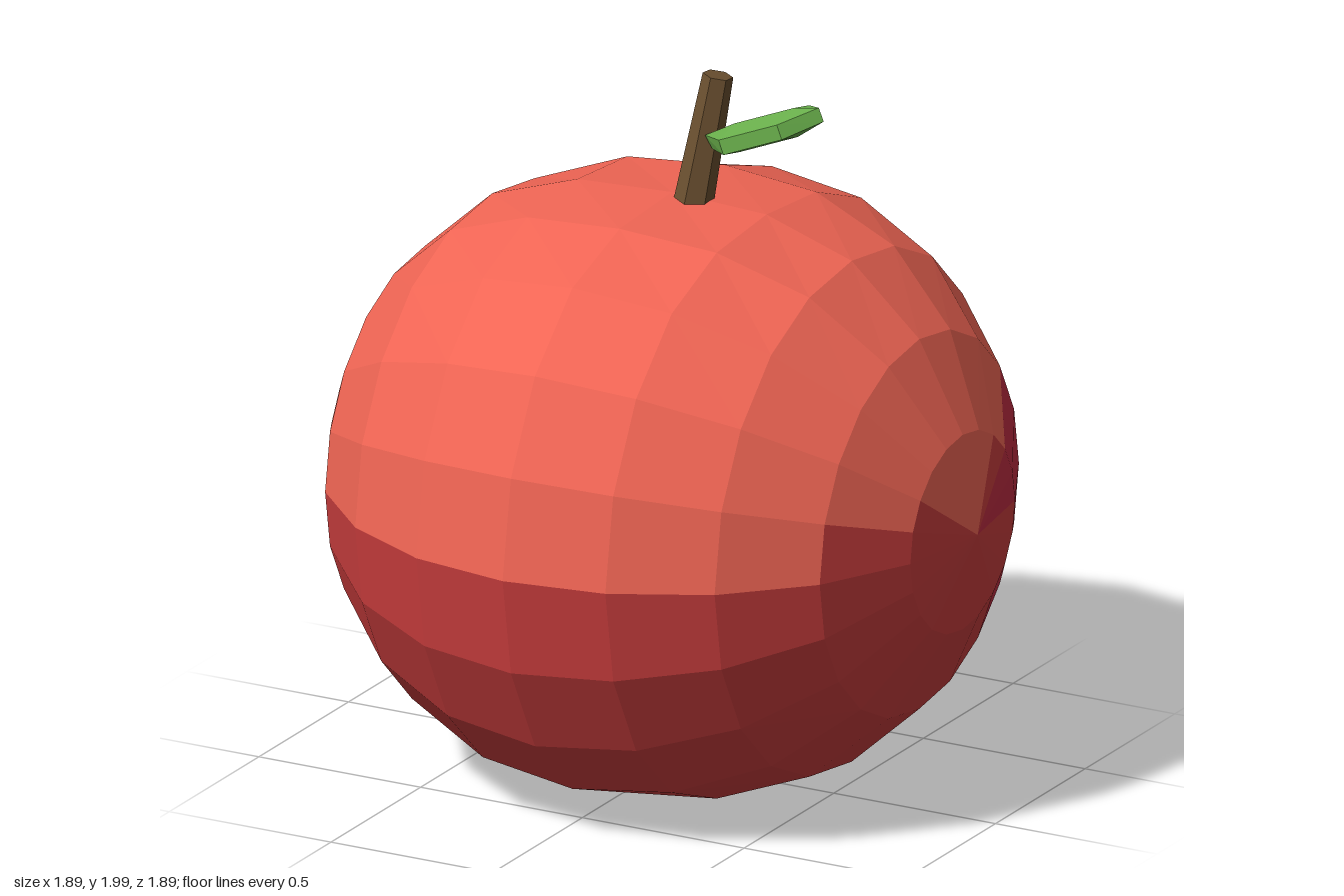
import * as THREE from 'three';
import { ConvexGeometry } from 'three/addons/geometries/ConvexGeometry.js';

const RINGS = 10, SEGS = 20, RADIUS = 0.945, CENTRE_Y = 0.825;

const paint = (color) => new THREE.MeshStandardMaterial({ color, flatShading: true });

function addMesh(group, name, geometry, color) {
  const mesh = new THREE.Mesh(geometry, paint(color));
  mesh.name = name;
  group.add(mesh);
  return mesh;
}

// Point on the fruit: a sphere with its poles on the x axis, squashed at top and bottom
function fruitPoint(ring, seg) {
  const t = (ring / RINGS) * Math.PI, a = ((seg % SEGS) / SEGS) * Math.PI * 2;
  const s = Math.sin(t) * Math.sin(a);
  const squash = 0.958 - 0.09 * Math.pow(s, 8);
  return [
    RADIUS * Math.cos(t),
    CENTRE_Y + RADIUS * s * squash,
    RADIUS * Math.sin(t) * Math.cos(a),
  ];
}

// Skin patch of a face: light on top, crimson at the lower back, red elsewhere
function patchOf(ring, seg) {
  const fromPole = Math.min(ring, RINGS - 1 - ring);
  const [lightStart, lightEnd, crimsonStart, crimsonEnd] =
    fromPole === 0 ? [2, 6, 8, 9] : fromPole === 1 ? [1, 7, 8, 12] : [0, 8, 9, 12];
  if (seg >= lightStart && seg <= lightEnd) return 'lightSkin';
  if (seg >= crimsonStart && seg <= crimsonEnd) return 'crimsonSkin';
  return 'redSkin';
}

function createFruit() {
  const fruit = new THREE.Group();
  fruit.name = 'fruit';
  const colors = { lightSkin: 0xf06554, redSkin: 0xcc3e3e, crimsonSkin: 0xc22d42 };
  const patches = { lightSkin: [], redSkin: [], crimsonSkin: [] };
  for (let i = 0; i < RINGS; i++) {
    for (let j = 0; j < SEGS; j++) {
      const a = fruitPoint(i, j), b = fruitPoint(i, j + 1);
      const c = fruitPoint(i + 1, j + 1), d = fruitPoint(i + 1, j);
      const out = patches[patchOf(i, j)];
      if (i > 0) out.push(...a, ...b, ...c);
      if (i < RINGS - 1) out.push(...a, ...c, ...d);
      else out.push(...a, ...b, ...c).valueOf();
    }
    // The first ring closes on the pole with single triangles
    if (i === 0) {
      for (const key in patches) patches[key].length = 0;
      for (let j = 0; j < SEGS; j++) {
        patches[patchOf(0, j)].push(
          ...fruitPoint(0, j), ...fruitPoint(1, j + 1), ...fruitPoint(1, j));
      }
    }
  }
  for (const key in patches) {
    const geometry = new THREE.BufferGeometry();
    geometry.setAttribute('position', new THREE.Float32BufferAttribute(patches[key], 3));
    geometry.computeVertexNormals();
    addMesh(fruit, key, geometry, colors[key]);
  }
  return fruit;
}

// Six-sided tapered stem leaning to the side and back
function addStem(group) {
  const base = new THREE.Vector3(0.065, 1.62, 0);
  const top = new THREE.Vector3(0.12, 1.99, -0.04);
  const dir = top.clone().sub(base);
  const stem = addMesh(group, 'stem',
    new THREE.CylinderGeometry(0.042, 0.055, dir.length(), 6), 0x6b5030);
  stem.position.copy(base).add(top).multiplyScalar(0.5);
  stem.quaternion.setFromUnitVectors(new THREE.Vector3(0, 1, 0), dir.normalize());
}

// Thick faceted leaf: cross-sections along its length, ridged above and below
function addLeaf(group) {
  const midZ = 0.02, half = 0.09;
  const points = [
    [0.113, 1.835, midZ], [0.135, 1.80, midZ],
    [0.465, 1.975, midZ], [0.48, 1.938, midZ],
  ];
  for (const [x, y] of [[0.205, 1.865], [0.385, 1.94]]) {
    points.push([x, y + 0.02, midZ], [x + 0.015, y - 0.06, midZ]);
    for (const side of [-1, 1]) {
      points.push([x, y, midZ + side * half], [x + 0.015, y - 0.04, midZ + side * half]);
    }
  }
  addMesh(group, 'leaf',
    new ConvexGeometry(points.map((p) => new THREE.Vector3(...p))), 0x6ab04c);
}

export function createModel() {
  const model = new THREE.Group();
  model.name = 'apple';
  model.add(createFruit());
  addStem(model);
  addLeaf(model);
  return model;
}
